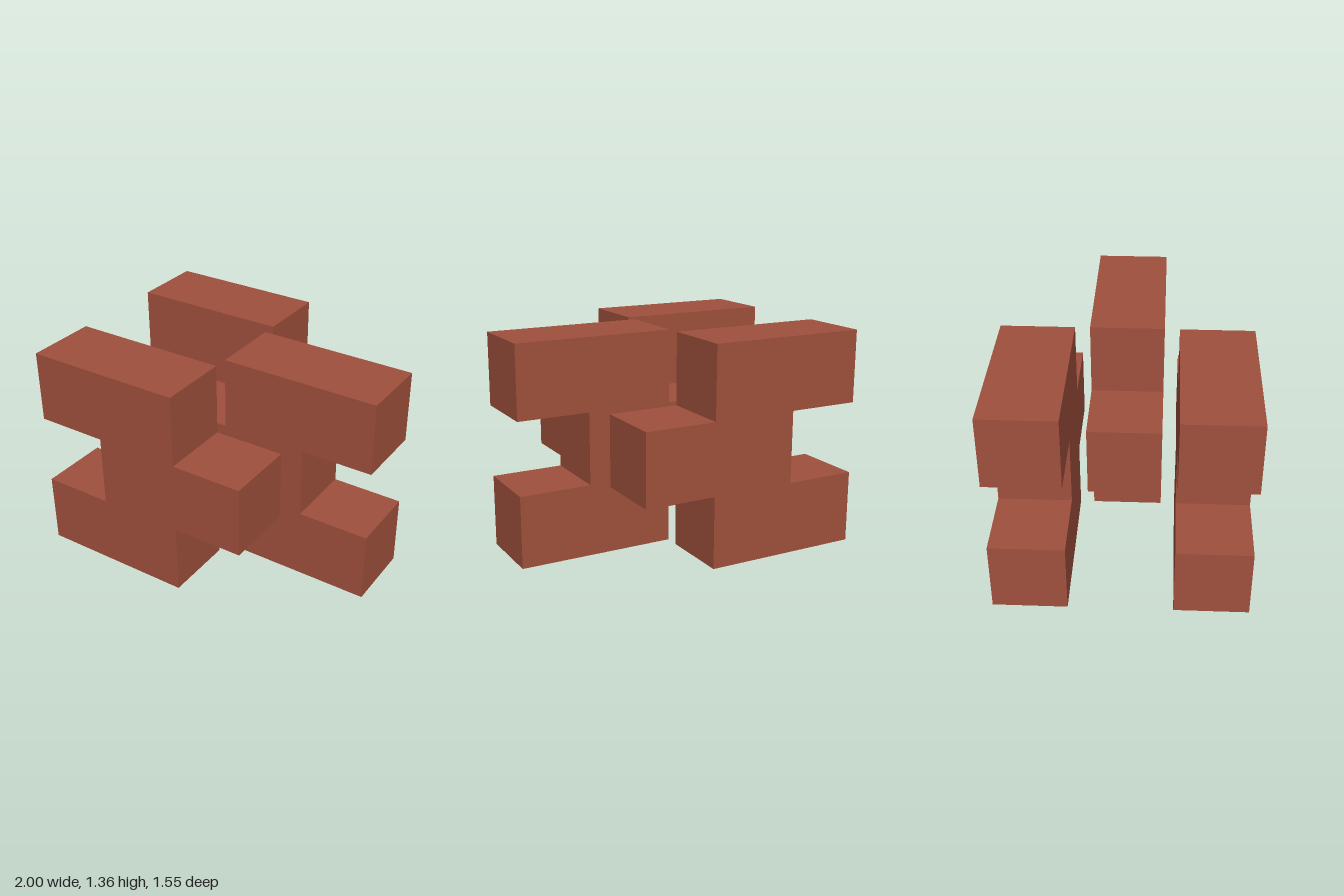
import * as THREE from 'three';

const U = 1 / 11; // module: blocks are 5 units thick, with 1 unit gaps

// Half of an interlocking piece: two arms on one side, one tongue on the other
const OUTLINE = [
  [-11, 0], [0, 0], [0, 5], [5, 5], [5, 10], [0, 10],
  [0, 15], [-11, 15], [-11, 10], [-6, 10], [-6, 5], [-11, 5],
];

function slabGeometry(mirror) {
  const points = OUTLINE.map(([x, y]) => new THREE.Vector2((mirror ? -x : x) * U, y * U));
  const geometry = new THREE.ExtrudeGeometry(new THREE.Shape(points), {
    depth: 5 * U,
    bevelEnabled: false,
  });
  return geometry.translate(0, 0, -2.5 * U);
}

export function createModel() {
  const group = new THREE.Group();
  group.name = 'interlockingSlabs';
  const material = new THREE.MeshStandardMaterial({ color: 0xa0503c });

  // Three parallel slabs, the middle one facing the other way
  [['backSlab', -6], ['middleSlab', 0], ['frontSlab', 6]].forEach(([name, z]) => {
    const slab = new THREE.Mesh(slabGeometry(z === 0), material);
    slab.name = name;
    slab.position.z = z * U;
    group.add(slab);
  });

  return group;
}
